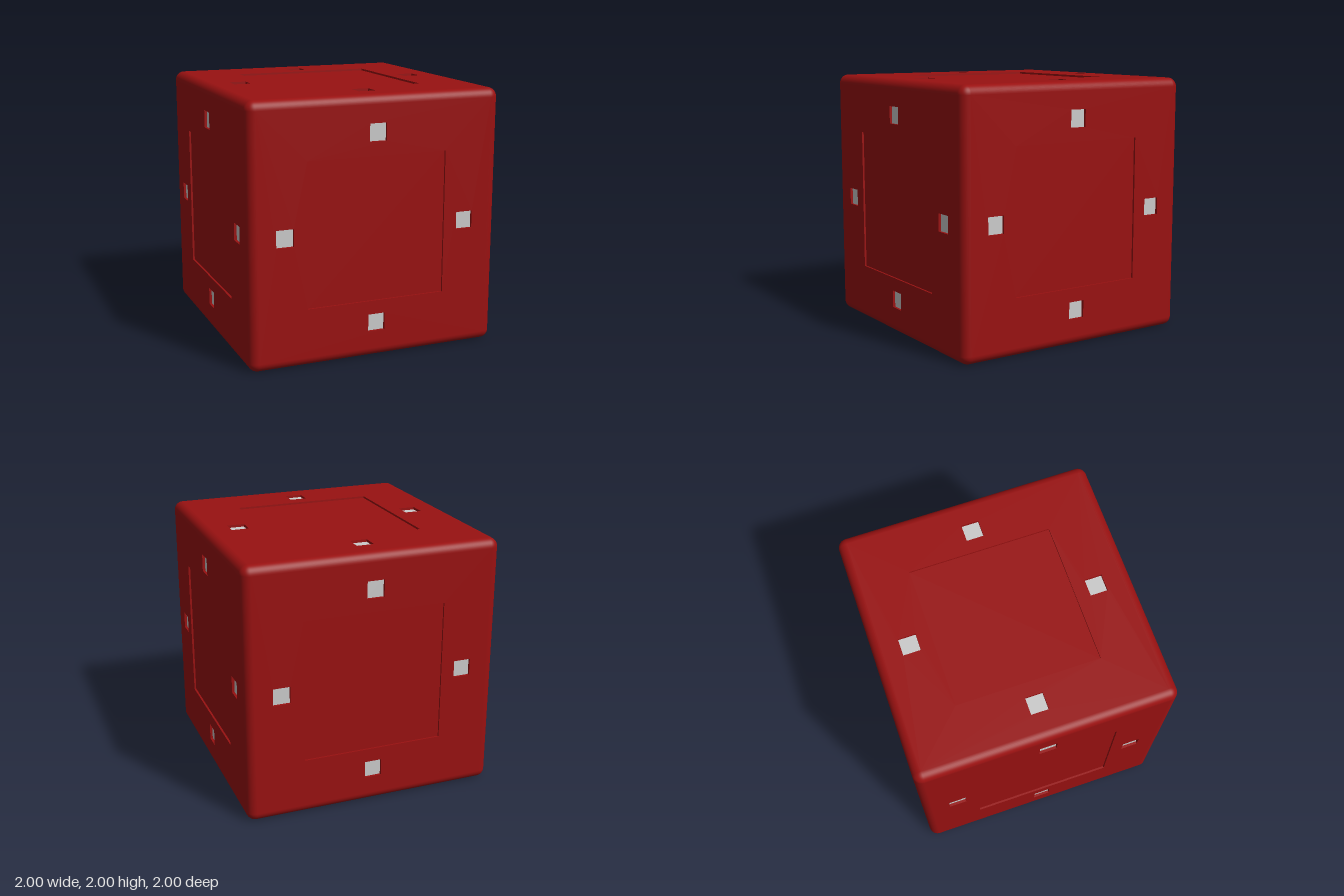
import * as THREE from 'three';
import { RoundedBoxGeometry } from 'three/addons/geometries/RoundedBoxGeometry.js';

const RADIUS = 0.07;         // rounding of the cube's edges
const FLAT = 1 - RADIUS;     // half size of each flat face
const PANEL = 0.553;         // half size of the central recess
const STUD = 0.067;          // half size of the small square recesses
const STUD_OFFSET = 0.726;
const PANEL_DEPTH = 0.015, STUD_DEPTH = 0.02;

const studSpots = [[1, 0], [0, 1], [-1, 0], [0, -1]].map(p => p.map(v => v * STUD_OFFSET));

// Trace a centred square on a Shape or Path
function square(path, half, x = 0, y = 0) {
  path.moveTo(x - half, y - half);
  path.lineTo(x + half, y - half);
  path.lineTo(x + half, y + half);
  path.lineTo(x - half, y + half);
  path.closePath();
  return path;
}

// Rounded edges and corners only: a rounded box without its flat faces
function roundedFrame() {
  const box = new RoundedBoxGeometry(2, 2, 2, 6, RADIUS);
  const pos = box.attributes.position, nor = box.attributes.normal;
  const p = [], n = [];
  for (let i = 0; i < pos.count; i += 3) {
    const tri = [i, i + 1, i + 2];
    const isFlat = ['getX', 'getY', 'getZ'].some(get => tri.every(k => Math.abs(pos[get](k)) > 1 - 1e-5));
    if (isFlat) continue;
    for (const k of tri) {
      p.push(pos.getX(k), pos.getY(k), pos.getZ(k));
      n.push(nor.getX(k), nor.getY(k), nor.getZ(k));
    }
  }
  const geometry = new THREE.BufferGeometry();
  geometry.setAttribute('position', new THREE.Float32BufferAttribute(p, 3));
  geometry.setAttribute('normal', new THREE.Float32BufferAttribute(n, 3));
  return geometry;
}

export function createModel() {
  const red = new THREE.MeshStandardMaterial({ color: 0x991111 });
  const grey = new THREE.MeshStandardMaterial({ color: 0xcccccc });
  const model = new THREE.Group();
  model.name = 'cube';

  function add(parent, name, geometry, material, x = 0, y = 0, z = 0) {
    const mesh = new THREE.Mesh(geometry, material);
    mesh.name = name;
    mesh.position.set(x, y, z);
    parent.add(mesh);
  }

  add(model, 'roundedEdges', roundedFrame(), red, 0, 1, 0);

  // Face plate with cut-outs for the panel and the four studs
  const plateShape = square(new THREE.Shape(), FLAT);
  plateShape.holes.push(square(new THREE.Path(), PANEL));
  for (const [x, y] of studSpots) plateShape.holes.push(square(new THREE.Path(), STUD, x, y));
  const plate = new THREE.ExtrudeGeometry(plateShape, { depth: 0.03, bevelEnabled: false });
  const panel = new THREE.PlaneGeometry(2 * PANEL, 2 * PANEL);
  const stud = new THREE.PlaneGeometry(2 * STUD, 2 * STUD);

  // The same face on all six sides
  const q = Math.PI / 2;
  const sides = [
    ['front', 0, 0], ['left', 0, q], ['back', 0, 2 * q], ['right', 0, -q],
    ['top', -q, 0], ['bottom', q, 0],
  ];
  for (const [name, rx, ry] of sides) {
    const face = new THREE.Group();
    face.name = name + 'Face';
    face.position.y = 1;
    face.rotation.set(rx, ry, 0);
    add(face, 'facePlate', plate, red, 0, 0, 0.97);
    add(face, 'recessedPanel', panel, red, 0, 0, 1 - PANEL_DEPTH);
    for (const [x, y] of studSpots) add(face, 'stud', stud, grey, x, y, 1 - STUD_DEPTH);
    model.add(face);
  }
  return model;
}
